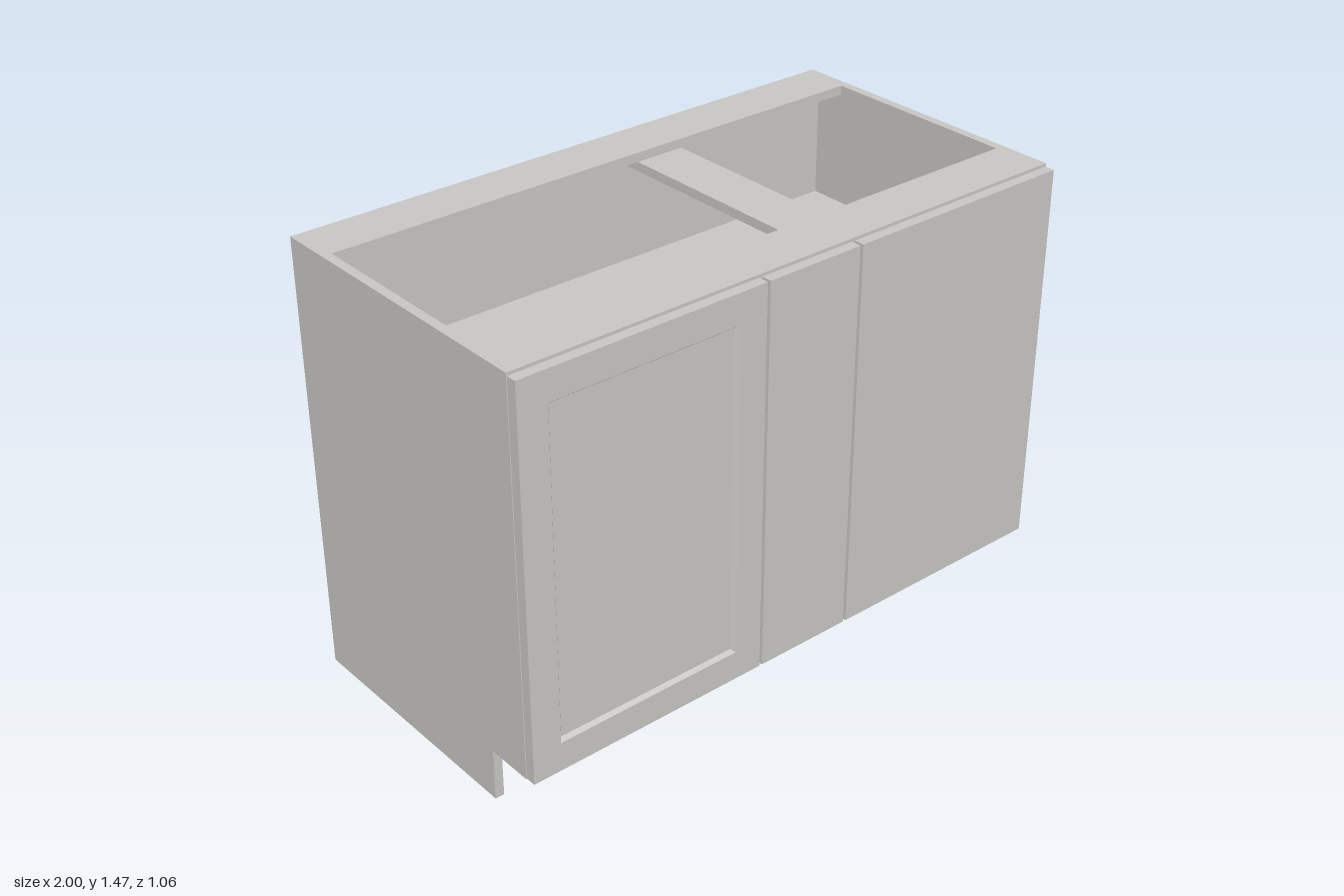
import * as THREE from 'three';

const T = 0.03;            // board thickness
const H = 1.47;            // carcass height
const KICK = 0.175;        // toe kick height
const BACK = -0.528, FRONT = 0.494, FACE = 0.528;

export function createModel() {
  const model = new THREE.Group();
  model.name = 'baseCabinet';
  const paint = new THREE.MeshStandardMaterial({ color: 0xc8c6c2 });
  paint.name = 'warm grey';

  const add = (name, geometry) => {
    const mesh = new THREE.Mesh(geometry, paint);
    mesh.name = name;
    model.add(mesh);
    return mesh;
  };
  // Box given by its limits on each axis
  const board = (name, x0, x1, y0, y1, z0, z1) =>
    add(name, new THREE.BoxGeometry(x1 - x0, y1 - y0, z1 - z0))
      .position.set((x0 + x1) / 2, (y0 + y1) / 2, (z0 + z1) / 2);

  // Side panels with a toe kick notch, drawn as (-z, y) and turned to face x
  const profile = new THREE.Shape([
    [-BACK, 0], [-BACK, H], [-FRONT, H], [-FRONT, KICK], [-0.335, KICK], [-0.335, 0],
  ].map(([u, v]) => new THREE.Vector2(u, v)));
  for (const [name, x] of [['rightSide', -1], ['leftSide', 1 - T]]) {
    const side = new THREE.ExtrudeGeometry(profile, { depth: T, bevelEnabled: false });
    side.rotateY(Math.PI / 2);
    add(name, side).position.x = x;
  }

  // Carcass boards between the sides
  const X = 1 - T;
  board('bottom', -X, X, KICK, KICK + T, BACK + T, FRONT);
  board('shelf', -X, X, 1.03, 1.06, -0.465, FRONT);
  board('backPanel', -X, X, KICK + T, H - T, -0.498, -0.465);
  board('backBottomRail', -X, X, KICK, 0.31, BACK, BACK + T);
  board('backTopRail', -X, X, 1.335, H - T, BACK, BACK + T);
  board('topBackStretcher', -X, X, H - T, H, BACK, -0.36);
  board('topFrontStretcher', -X, X, H - T, H, 0.32, FRONT);
  board('topCrossBar', 0.113, 0.285, H - 2 * T, H - T, -0.465, FRONT);

  // Plain front panels
  const TOP = 1.46;
  board('fillerPanel', -0.148, 0.189, KICK, TOP, FRONT, FACE);
  board('blindPanel', 0.2, 0.997, KICK, TOP, FRONT, FACE);

  // Framed door: rails and stiles, a sloped inner lip and a recessed panel
  const L = -0.997, R = -0.158;
  const o = { x0: -0.9, x1: -0.255, y0: 0.272, y1: 1.362 };
  const lip = 0.01, recess = FACE - 0.013;
  board('doorStile', L, o.x0, KICK, TOP, FRONT, FACE);
  board('doorStile', o.x1, R, KICK, TOP, FRONT, FACE);
  board('doorRail', o.x0, o.x1, KICK, o.y0, FRONT, FACE);
  board('doorRail', o.x0, o.x1, o.y1, TOP, FRONT, FACE);
  board('doorPanel', o.x0, o.x1, o.y0, o.y1, FRONT, recess);

  const loop = (d, z) => [
    [o.x0 + d, o.y0 + d, z], [o.x1 - d, o.y0 + d, z],
    [o.x1 - d, o.y1 - d, z], [o.x0 + d, o.y1 - d, z],
  ];
  const outer = loop(0, FACE), inner = loop(lip, recess);
  const points = [];
  for (let i = 0; i < 4; i++) {
    const j = (i + 1) % 4;
    points.push(outer[i], outer[j], inner[j], outer[i], inner[j], inner[i]);
  }
  const bevel = new THREE.BufferGeometry();
  bevel.setAttribute('position', new THREE.Float32BufferAttribute(points.flat(), 3));
  bevel.computeVertexNormals();
  add('doorLip', bevel);

  return model;
}
